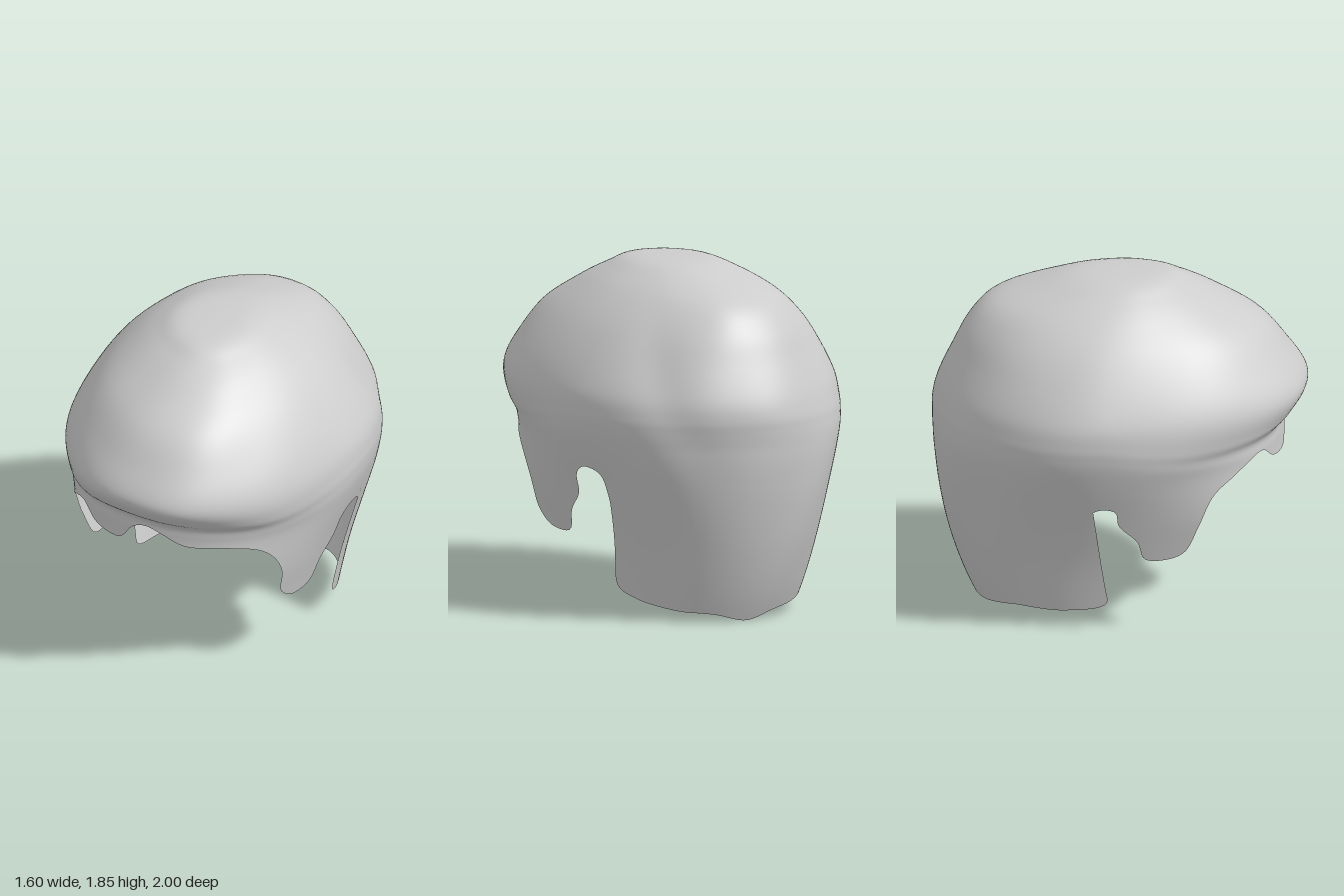
import * as THREE from 'three';
import { mergeVertices } from 'three/addons/utils/BufferGeometryUtils.js';

// Horizontal sections, bottom to crown: y, half width, front z, back z, centre z
const levels = [
  [-0.08, 0.52, 0.80, -0.72, -0.10],
  [0.15, 0.56, 0.83, -0.83, -0.10],
  [0.40, 0.61, 0.85, -0.915, -0.10],
  [0.65, 0.68, 0.87, -0.97, -0.10],
  [0.85, 0.745, 0.87, -0.995, -0.10],
  [0.98, 0.782, 0.87, -1.0, -0.10],
  [1.06, 0.795, 0.875, -1.0, -0.10],
  [1.13, 0.796, 0.945, -0.995, -0.10],
  [1.24, 0.775, 1.0, -0.965, -0.10],
  [1.40, 0.69, 0.90, -0.895, -0.09],
  [1.56, 0.575, 0.765, -0.815, -0.08],
  [1.69, 0.445, 0.56, -0.69, -0.06],
  [1.78, 0.32, 0.39, -0.45, -0.03],
  [1.84, 0.19, 0.25, -0.23, 0],
  [1.852, 0, 0, 0, 0],
];
const curveA = new THREE.CatmullRomCurve3(levels.map(l => new THREE.Vector3(l[0], l[1], l[2])), false, 'catmullrom', 0.5);
const curveB = new THREE.CatmullRomCurve3(levels.map(l => new THREE.Vector3(l[3], l[4], 0)), false, 'catmullrom', 0.5);

function section(s) {
  const a = curveA.getPoint(s), b = curveB.getPoint(s);
  return { y: a.x, w: Math.max(a.y, 0), front: a.z, back: b.x, zc: b.y, xo: 0.03 * (1 - s) ** 2 };
}

function levelAt(y) {
  let lo = 0, hi = 1;
  for (let i = 0; i < 30; i++) {
    const mid = (lo + hi) / 2;
    if (section(mid).y < y) lo = mid; else hi = mid;
  }
  return lo;
}

// Hairline as x, z, y: fringe, left sideburn, ear notch, nape, then the right side
const rim = [
  [0.05, 0.87, 1.02], [0.15, 0.86, 0.99], [0.26, 0.82, 0.93], [0.45, 0.70, 0.92],
  [0.55, 0.58, 0.88], [0.59, 0.49, 0.79], [0.60, 0.42, 0.66], [0.60, 0.39, 0.52],
  [0.60, 0.32, 0.45], [0.61, 0.24, 0.42], [0.62, 0.11, 0.43], [0.64, 0.06, 0.55],
  [0.68, -0.03, 0.66], [0.70, -0.05, 0.77], [0.70, -0.12, 0.82], [0.70, -0.23, 0.79],
  [0.66, -0.255, 0.66], [0.61, -0.25, 0.45], [0.56, -0.21, 0.17], [0.53, -0.31, 0.11],
  [0.44, -0.52, 0.06], [0.30, -0.66, 0.04], [0.15, -0.74, 0.0], [0, -0.77, 0.04],
  [-0.2, -0.76, 0.06], [-0.4, -0.58, 0.1], [-0.5, -0.3, 0.11], [-0.53, -0.09, 0.16],
  [-0.57, -0.15, 0.33], [-0.61, -0.22, 0.5], [-0.68, -0.22, 0.68], [-0.70, -0.14, 0.75],
  [-0.69, -0.05, 0.74], [-0.66, -0.03, 0.65], [-0.62, 0.07, 0.54], [-0.60, 0.11, 0.43],
  [-0.59, 0.22, 0.42], [-0.57, 0.32, 0.46], [-0.56, 0.40, 0.62], [-0.55, 0.48, 0.79],
  [-0.51, 0.62, 0.91], [-0.40, 0.73, 0.99], [-0.29, 0.80, 0.91], [-0.2, 0.84, 0.89],
  [-0.1, 0.86, 0.90], [-0.02, 0.87, 1.0],
];

const TAU = Math.PI * 2;
const wrap = a => Math.atan2(Math.sin(a), Math.cos(a));
const bump = (d, width) => Math.exp(-d * d / (width * width));

// Soft dents and waves in the hair, as a scale on the section
function relief(az, y) {
  const crease = 0.028 * bump(wrap(az - 2.2 - (1.3 - y) * 0.5), 0.2) * bump(y - 1.3, 0.38);
  const waves = 0.004 * Math.sin(az * 5 + y * 4) + 0.004 * Math.sin(az * 9 - y * 6);
  return 1 - crease + waves;
}

// A point of the shell at one section and direction
function shellPoint(c, az) {
  const sin = Math.sin(az), cos = Math.cos(az), front = Math.max(cos, 0);
  const k = relief(az, c.y);
  const depth = cos > 0 ? c.front - c.zc : c.zc - c.back;
  // Squarer temples low down, and a slight lean to the left higher up
  const temple = 1 + 0.25 * front * front * (1 - THREE.MathUtils.smoothstep(c.y, 0.6, 1));
  const lean = 0.05 * cos * cos * THREE.MathUtils.smoothstep(c.y, 0.95, 1.2) * Math.min(1, c.w / 0.4);
  // The lip above the fringe droops towards the temples
  const droop = 0.14 * sin * sin * front * bump(c.y - 1.1, 0.16);
  return [c.xo + lean + c.w * k * temple * sin, c.y - droop, c.zc + depth * k * cos];
}

function hairGeometry(columns, rows) {
  const curve = new THREE.CatmullRomCurve3(rim.map(p => new THREE.Vector3(...p)), true, 'centripetal');
  const start = [], angle = [];
  for (let i = 0; i < columns; i++) {
    const p = curve.getPointAt(i / columns);
    const s = levelAt(p.z), c = section(s);
    const depth = p.y > c.zc ? c.front - c.zc : c.zc - c.back;
    // Depth fixes the direction on the sides, width fixes it at front and back
    const cos = THREE.MathUtils.clamp((p.y - c.zc) / depth, -1, 1);
    const sin = (p.x - c.xo) / c.w;
    const az = Math.abs(cos) < 0.7 ? Math.sign(p.x) * Math.acos(cos) : Math.atan2(sin, cos);
    start.push(s);
    angle.push(i ? angle[i - 1] + wrap(az - angle[i - 1]) : az);
  }
  // Even out the strand directions above the hairline
  const reach = Math.round(columns / 14);
  const target = angle.map((_, i) => {
    let sum = 0;
    for (let k = -reach; k <= reach; k++) {
      const j = i + k, turn = Math.floor(j / columns);
      sum += angle[j - turn * columns] + turn * TAU;
    }
    return sum / (2 * reach + 1);
  });

  const positions = [], index = [];
  for (let j = 0; j <= rows; j++) {
    const t = j / rows;
    for (let i = 0; i < columns; i++) {
      const c = section(start[i] + (1 - start[i]) * t);
      const az = target[i] + (angle[i] - target[i]) * (1 - t) ** 3;
      positions.push(...shellPoint(c, az));
    }
  }
  for (let j = 0; j < rows; j++) {
    for (let i = 0; i < columns; i++) {
      const a = j * columns + i, b = j * columns + (i + 1) % columns;
      index.push(a, b, a + columns);
      if (j < rows - 1) index.push(b, b + columns, a + columns);
    }
  }
  let geometry = new THREE.BufferGeometry();
  geometry.setAttribute('position', new THREE.Float32BufferAttribute(positions, 3));
  geometry.setIndex(index);
  geometry = mergeVertices(geometry, 1e-5);
  geometry.computeVertexNormals();
  return geometry;
}

export function createModel() {
  const group = new THREE.Group();
  group.name = 'hairpiece';
  const hairGrey = new THREE.MeshStandardMaterial({ color: 0xcccccc, side: THREE.DoubleSide });
  hairGrey.name = 'hair grey';
  const hair = new THREE.Mesh(hairGeometry(280, 64), hairGrey);
  hair.name = 'hairShell';
  group.add(hair);
  return group;
}
